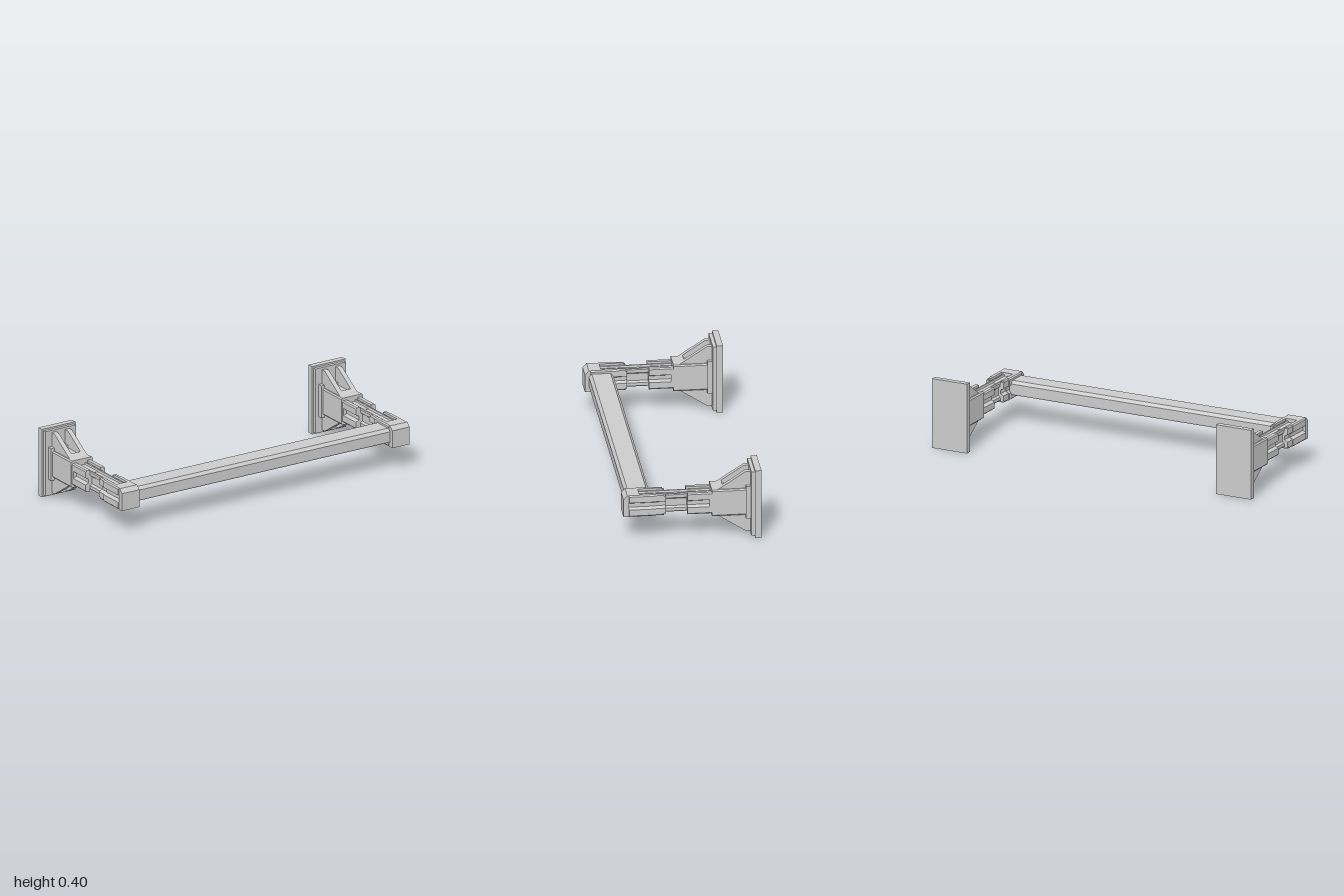
import * as THREE from 'three';

const material = new THREE.MeshStandardMaterial({ color: 0xcccccc, flatShading: true });
const CY = 0.2; // height of the arm axis

function extrude(points, depth) {
  const shape = new THREE.Shape(points.map(([x, y]) => new THREE.Vector2(x, y)));
  return new THREE.ExtrudeGeometry(shape, { depth, bevelEnabled: false });
}

function add(group, name, geometry) {
  const mesh = new THREE.Mesh(geometry, material);
  mesh.name = name;
  group.add(mesh);
  return mesh;
}

// Section in x/y around the arm axis, swept from z0 to z1
function alongZ(group, name, points, z0, z1) {
  add(group, name, extrude(points, z1 - z0)).position.set(0, CY, z0);
}

// Outline in z/y, swept from x0 to x1
function alongX(group, name, points, x0, x1) {
  const mesh = add(group, name, extrude(points.map(([z, y]) => [-z, y]), x1 - x0));
  mesh.rotation.y = Math.PI / 2;
  mesh.position.x = x0;
}

function box(group, name, w, y0, y1, z0, z1) {
  add(group, name, new THREE.BoxGeometry(w, y1 - y0, z1 - z0))
    .position.set(0, (y0 + y1) / 2, (z0 + z1) / 2);
}

// Rectangle with chamfered corners and tapered grooves: [outer half width, floor half width, depth]
function section(hx, hy, side, top, bottom, c = 0.007) {
  const p = [];
  p.push([hx, -hy + c]);
  if (side) p.push([hx, -side[0]], [hx - side[2], -side[1]], [hx - side[2], side[1]], [hx, side[0]]);
  p.push([hx, hy - c], [hx - c, hy]);
  if (top) p.push([top[0], hy], [top[1], hy - top[2]], [-top[1], hy - top[2]], [-top[0], hy]);
  p.push([-hx + c, hy], [-hx, hy - c]);
  if (side) p.push([-hx, side[0]], [-hx + side[2], side[1]], [-hx + side[2], -side[1]], [-hx, -side[0]]);
  p.push([-hx, -hy + c], [-hx + c, -hy]);
  if (bottom) p.push([-bottom[0], -hy], [-bottom[1], -hy + bottom[2]], [bottom[1], -hy + bottom[2]], [bottom[0], -hy]);
  p.push([hx - c, -hy]);
  return p;
}

function createBracket() {
  const g = new THREE.Group();

  // Stepped wall plate
  box(g, 'wallPlate', 0.22, 0, 0.4, -0.38, -0.345);
  box(g, 'plateStep', 0.2, 0.01, 0.39, -0.345, -0.325);
  box(g, 'socketFlange', 0.16, 0.105, 0.295, -0.325, -0.298);
  alongZ(g, 'socket', section(0.071, 0.078), -0.298, -0.11);

  // Paired gussets above and below the socket, joined at the toe
  for (const s of [1, -1]) {
    const y = (h) => CY + s * h;
    const rib = [[-0.325, y(0.07)], [-0.145, y(0.078)], [-0.298, y(0.177)], [-0.325, y(0.177)]];
    alongX(g, 'gusset', rib, -0.058, -0.03);
    alongX(g, 'gusset', rib, 0.03, 0.058);
    alongX(g, 'gussetToe', [[-0.172, y(0.07)], [-0.145, y(0.078)], [-0.172, y(0.0955)]], -0.03, 0.03);
  }

  // Sliding arm beam and the sleeve around it
  const slot = [0.021, 0.011, 0.02];
  const open = [0.035, 0.035, 0.02];
  alongZ(g, 'armBeam', section(0.034, 0.053, [0.03, 0.021, 0.012], [0.02, 0.017, 0.012], [0.02, 0.017, 0.012], 0.005), -0.11, 0.29);
  alongZ(g, 'rearSleeve', section(0.064, 0.063, slot, open, open), -0.098, 0.025);
  alongZ(g, 'rearSleeveCollar', section(0.064, 0.063, null, open, open), -0.11, -0.098);

  // Elbow: notched throat, grooved body and chamfered cap
  alongZ(g, 'elbowThroat', section(0.056, 0.056, slot, [0.035, 0.035, 0.014], open), 0.145, 0.155);
  alongZ(g, 'elbowNeck', section(0.056, 0.063, slot, open), 0.155, 0.2);
  alongZ(g, 'elbowBody', section(0.061, 0.063, slot, open), 0.2, 0.29);
  alongZ(g, 'elbowFront', section(0.061, 0.063, slot), 0.29, 0.348);
  alongX(g, 'elbowCap', [[0.348, 0.138], [0.38, 0.138], [0.38, 0.24], [0.358, 0.263], [0.348, 0.263]], -0.057, 0.057);
  return g;
}

export function createModel() {
  const model = new THREE.Group();
  model.name = 'wallMountedBar';

  for (const s of [1, -1]) {
    const bracket = createBracket();
    bracket.name = s > 0 ? 'leftBracket' : 'rightBracket';
    bracket.position.x = s * 0.89;
    model.add(bracket);
  }

  // Cross bar with chamfered top and a channel along its underside
  alongX(model, 'crossBar', [
    [0.225, 0.165], [0.262, 0.165], [0.262, 0.205], [0.318, 0.205], [0.318, 0.165], [0.355, 0.165],
    [0.358, 0.172], [0.358, 0.228], [0.342, 0.245], [0.238, 0.245], [0.222, 0.228], [0.222, 0.172],
  ], -0.84, 0.84);

  return model;
}
